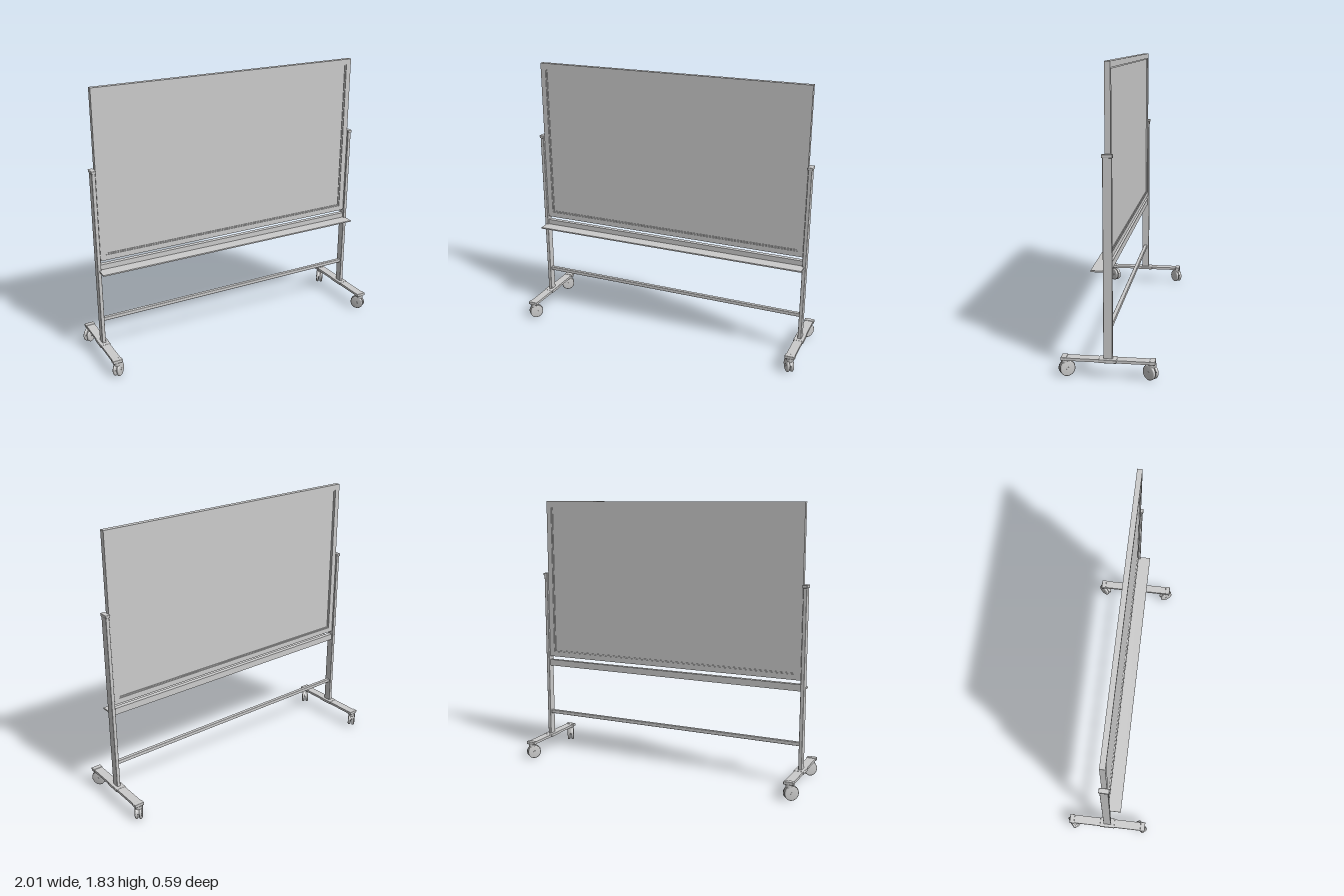
import * as THREE from 'three';
import { RoundedBoxGeometry } from 'three/addons/geometries/RoundedBoxGeometry.js';

const material = new THREE.MeshStandardMaterial({ color: 0xcccccc });

function add(parent, name, geometry, x = 0, y = 0, z = 0) {
  const mesh = new THREE.Mesh(geometry, material);
  mesh.name = name;
  mesh.position.set(x, y, z);
  parent.add(mesh);
  return mesh;
}

const box = (w, h, d) => new THREE.BoxGeometry(w, h, d);
const softBox = (w, h, d, r) => new RoundedBoxGeometry(w, h, d, 2, r);

// Rectangular ring, centred in depth
function ring(w, h, border, depth) {
  const rect = (P, a, b) => {
    const p = new P();
    p.moveTo(-a, -b);
    p.lineTo(a, -b);
    p.lineTo(a, b);
    p.lineTo(-a, b);
    p.closePath();
    return p;
  };
  const shape = rect(THREE.Shape, w / 2, h / 2);
  shape.holes.push(rect(THREE.Path, w / 2 - border, h / 2 - border));
  const g = new THREE.ExtrudeGeometry(shape, { depth, bevelEnabled: false });
  return g.translate(0, 0, -depth / 2);
}

// Twin-wheel castor; its axle lies along local x and the wheels trail along -z
function makeCastor() {
  const castor = new THREE.Group();
  castor.name = 'castor';
  const trail = -0.013;
  add(castor, 'stem', new THREE.CylinderGeometry(0.012, 0.012, 0.035, 16), 0, 0.097, 0);
  const r = 0.046, w = 0.019;
  const profile = [[0, -w / 2], [r - 0.006, -w / 2], [r, -w / 2 + 0.005],
    [r, w / 2 - 0.005], [r - 0.006, w / 2], [0, w / 2]].map(p => new THREE.Vector2(...p));
  for (const s of [-1, 1]) {
    const g = new THREE.LatheGeometry(profile, 28).rotateZ(Math.PI / 2);
    add(castor, 'wheel', g, s * 0.0135, 0.05, trail);
  }
  add(castor, 'axle', new THREE.CylinderGeometry(0.01, 0.01, 0.05, 16).rotateZ(Math.PI / 2), 0, 0.05, trail);
  // Hood between and over the wheels
  const hood = new THREE.Shape();
  hood.absarc(0, 0, 0.05, 0.25, Math.PI - 0.25, false);
  hood.lineTo(-0.012, 0);
  hood.lineTo(0.012, 0);
  hood.closePath();
  const hoodGeo = new THREE.ExtrudeGeometry(hood, { depth: 0.012, bevelEnabled: false, curveSegments: 16 });
  add(castor, 'hood', hoodGeo.translate(0, 0, -0.006).rotateY(Math.PI / 2), 0, 0.05, trail);
  add(castor, 'swivelHousing', new THREE.CylinderGeometry(0.023, 0.023, 0.02, 20), 0, 0.098, 0);
  return castor;
}

export function createModel() {
  const model = new THREE.Group();
  model.name = 'mobileBoard';

  // Double-sided writing board
  const board = new THREE.Group();
  board.name = 'board';
  board.position.y = 1.27;
  model.add(board);
  add(board, 'frame', ring(1.886, 1.118, 0.036, 0.034));
  add(board, 'innerLip', ring(1.816, 1.048, 0.009, 0.024));
  add(board, 'panel', box(1.8, 1.032, 0.014));

  // Tray and crossbars
  add(model, 'trayRail', box(1.894, 0.044, 0.03), 0, 0.662, 0);
  add(model, 'trayInnerShelf', box(1.89, 0.009, 0.03), 0, 0.645, 0.0125);
  add(model, 'trayShelf', box(1.92, 0.009, 0.073), 0, 0.645, 0.0635);
  add(model, 'lowerCrossbar', softBox(1.9, 0.025, 0.025, 0.004), 0, 0.29, 0);

  // Castor headings: [side x, end z, turn about y]
  const turns = { '1,1': 0.55, '1,-1': -0.65, '-1,1': -0.75, '-1,-1': -0.9 };

  for (const s of [-1, 1]) {
    const side = new THREE.Group();
    side.name = s > 0 ? 'leftStand' : 'rightStand';
    side.position.x = s * 0.958;
    model.add(side);
    add(side, 'post', softBox(0.024, 1.19, 0.054, 0.004), 0, 0.71, 0);
    add(side, 'postCap', softBox(0.032, 0.02, 0.065, 0.004), 0, 1.31, 0);
    add(side, 'pivot', new THREE.CylinderGeometry(0.012, 0.012, 0.02, 20).rotateZ(Math.PI / 2), -s * 0.012, 1.27, 0);
    add(side, 'foot', box(0.058, 0.017, 0.53), 0, 0.115, 0);
    add(side, 'footPlate', softBox(0.068, 0.021, 0.106, 0.004), 0, 0.115, 0);
    for (const e of [-1, 1]) {
      add(side, 'footEndCap', softBox(0.066, 0.022, 0.034, 0.004), 0, 0.116, e * 0.26);
      const castor = makeCastor();
      castor.position.z = e * 0.258;
      castor.rotation.y = turns[`${s},${e}`] + (e < 0 ? Math.PI : 0);
      side.add(castor);
    }
  }
  return model;
}
